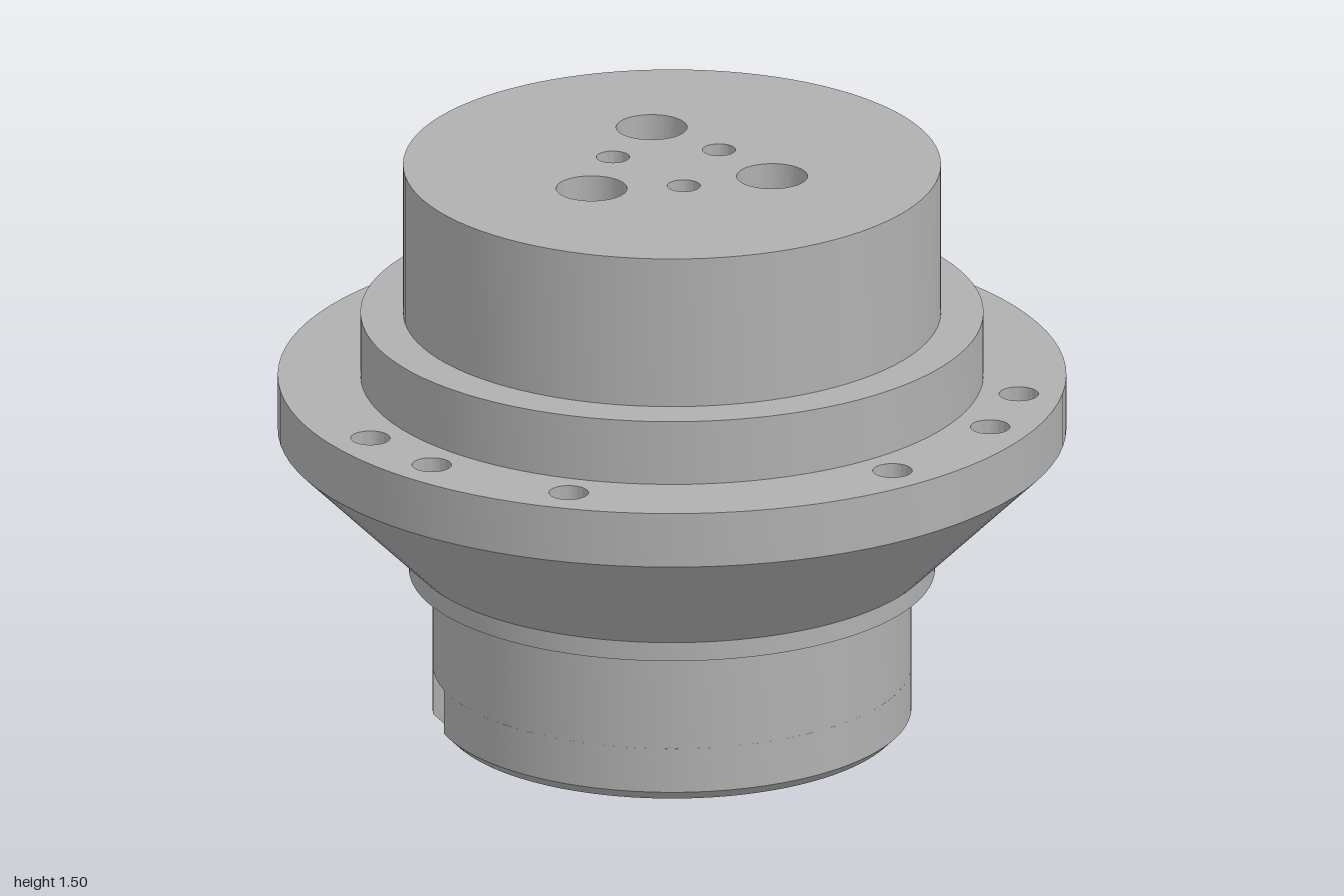
import * as THREE from 'three';
import { toCreasedNormals } from 'three/addons/utils/BufferGeometryUtils.js';

const SEG = 96;
const BORE = 0.433;
const FOOT_TOP = 0.145;

export function createModel() {
  const group = new THREE.Group();
  const steel = new THREE.MeshStandardMaterial({ color: 0xb0b0b0 });
  steel.name = 'machined steel';

  function add(name, geometry) {
    const mesh = new THREE.Mesh(geometry, steel);
    mesh.name = name;
    group.add(mesh);
    return mesh;
  }

  // Turned surface with crisp edges; profiles running downward face inward
  function turned(name, profile, segments = SEG) {
    const points = profile.map(([r, y]) => new THREE.Vector2(r, y));
    return add(name, toCreasedNormals(new THREE.LatheGeometry(points, segments), 0.5));
  }

  function circle(x, y, r) {
    return new THREE.Path().absarc(x, y, r, 0, Math.PI * 2, true);
  }

  // Flat ring or disc pierced by holes given as [x, z, radius]
  function plate(name, outer, inner, holes, y, faceDown = false) {
    const shape = new THREE.Shape().absarc(0, 0, outer, 0, Math.PI * 2, false);
    if (inner > 0) shape.holes.push(circle(0, 0, inner));
    const flip = faceDown ? 1 : -1;
    for (const [x, z, r] of holes) shape.holes.push(circle(x, flip * z, r));
    const geometry = new THREE.ShapeGeometry(shape, SEG / 2);
    geometry.rotateX(flip * Math.PI / 2);
    geometry.translate(0, y, 0);
    return add(name, geometry);
  }

  // Drilled hole wall, with a floor when blind
  function drill(name, [x, z, r], top, bottom, blind) {
    const profile = [[r, top], [r, bottom]];
    if (blind) profile.push([0, bottom]);
    turned(name, profile, SEG).position.set(x, 0, z);
  }

  // Hole patterns
  const throughHoles = [[-0.137, -0.08, 0.042], [0.137, -0.08, 0.042], [0, 0.157, 0.042]];
  const blindHoles = [[0, -0.272, 0.09], [-0.233, 0.132, 0.09], [0.233, 0.132, 0.09]];
  const flangeHoles = [];
  for (const side of [-1, 1]) {
    for (const [x, z] of [[0.837, 0.302], [0.721, 0.521], [0.418, 0.783]]) {
      flangeHoles.push([side * x, z, 0.05]);
    }
  }

  // Bore, neck, collar, cone and flange rim
  turned('lowerBody', [
    [BORE, 0.93], [BORE, FOOT_TOP], [0.607, FOOT_TOP], [0.607, 0.405],
    [0.667, 0.405], [0.667, 0.455], [1, 0.785], [1, 0.93],
  ]);
  plate('boreCeiling', BORE, 0, throughHoles, 0.93, true);
  plate('flangeTop', 1, 0.79, flangeHoles, 0.93);
  flangeHoles.forEach((hole) => drill('flangeHole', hole, 0.93, 0.81, true));

  // Stepped hub
  turned('hub', [[0.79, 0.93], [0.79, 1.1], [0.682, 1.1], [0.682, 1.5]]);
  plate('hubTop', 0.682, 0, [...throughHoles, ...blindHoles], 1.5);
  throughHoles.forEach((hole) => drill('throughHole', hole, 1.5, 0.93, false));
  blindHoles.forEach((hole) => drill('blindHole', hole, 1.5, 1.2, true));

  // Two chamfered foot halves, separated by the drive slots on either side
  const halfSlot = 0.072;
  const outer = 0.607;
  const chamferRadius = 0.58;
  const a = Math.asin(halfSlot / outer);
  const b = Math.asin(halfSlot / BORE);
  const half = new THREE.Shape();
  half.absarc(0, 0, outer, a, Math.PI - a, false);
  half.absarc(0, 0, BORE, Math.PI - b, b, true);
  half.closePath();
  half.holes.push(circle(0, 0.52, 0.046));
  const foot = new THREE.ExtrudeGeometry(half, {
    depth: FOOT_TOP, steps: 2, bevelEnabled: false, curveSegments: 40,
  });
  const p = foot.attributes.position;
  for (let i = 0; i < p.count; i++) {
    const x = p.getX(i), y = p.getY(i), z = p.getZ(i);
    if (z > 0.01 && z < FOOT_TOP - 0.01) p.setZ(i, 0.027);
    // Pull the lower outer edge in, keeping the slot walls flat
    if (z < 0.001 && Math.hypot(x, y) > outer - 0.005) {
      if (y < halfSlot + 0.001) {
        p.setX(i, Math.sign(x) * Math.sqrt(chamferRadius ** 2 - y * y));
      } else {
        p.setX(i, x * chamferRadius / outer);
        p.setY(i, Math.max(halfSlot, y * chamferRadius / outer));
      }
    }
  }
  foot.rotateX(-Math.PI / 2);
  const footGeometry = toCreasedNormals(foot, 0.5);
  add('backFoot', footGeometry);
  add('frontFoot', footGeometry).rotation.y = Math.PI;

  return group;
}
